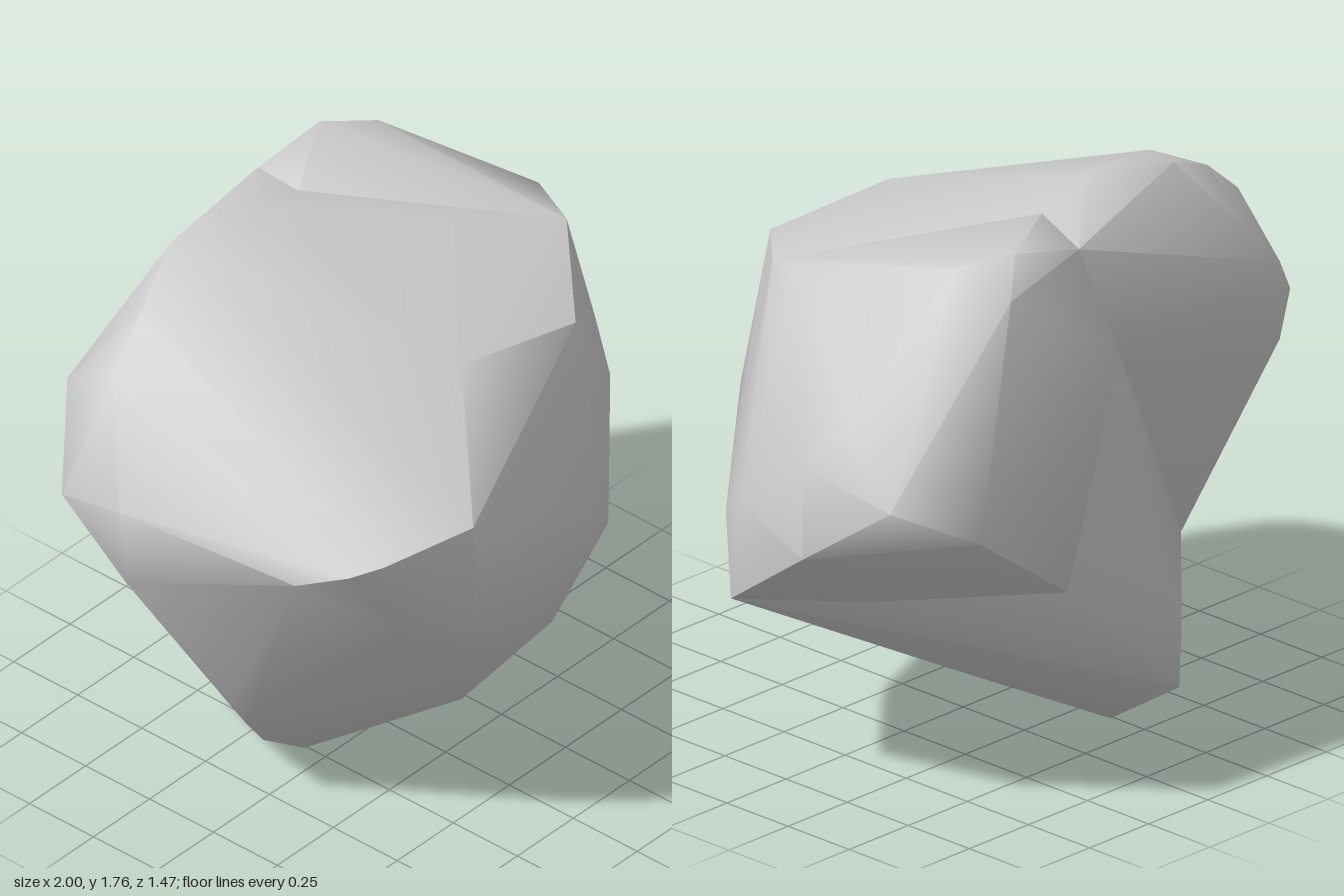
import * as THREE from 'three';
import { ConvexGeometry } from 'three/addons/geometries/ConvexGeometry.js';
import { toCreasedNormals } from 'three/addons/utils/BufferGeometryUtils.js';

// Corners shared by both lobes of the boulder
const spurTop = [0.02, 1.33, -0.66];
const crown = [
  [-0.4, 1.26, 0.71], [0.33, 1.49, 0.47], [0.62, 1.57, 0.18], [-0.1, 1.54, 0.4],
  [0.06, 1.71, -0.38], [0.11, 1.67, -0.58], spurTop,
];
const front = [
  [-0.07, 0.9, 0.73], [0.26, 0.92, 0.66], [-0.38, 0.9, 0.7], [-0.15, 0.58, 0.6],
  [0.1, 0.58, 0.58], [-0.1, 0.32, 0.4], [0.55, 0.6, 0.4], [0.86, 0.85, 0.14],
];
const baseEdge = [[0.9, 0.6, 0.08], [0, 0.11, 0], [-0.3, 0.04, -0.04]];
const underside = [
  [-0.08, 0.23, 0.29], [-0.39, 0.08, -0.12], [-0.6, 0.31, 0], [-0.58, 0.48, -0.33],
];
// Corners of the left-hand hump (x < 0) and its overhang at the back
const hump = [
  [-0.42, 1.75, -0.455], [-0.14, 1.76, -0.36], [-0.42, 1.76, -0.36],
  [-0.74, 1.37, -0.58], [-0.76, 1.11, -0.56], [-0.97, 1.16, -0.4], [-1, 1.23, -0.15],
  [-0.97, 0.96, -0.15], [-0.83, 1.13, 0.39], [-0.74, 1.17, 0.52], [-0.66, 1.2, 0.59],
  [-0.55, 0.88, 0.55], [-0.76, 0.65, -0.1], [-0.67, 0.43, 0],
  [-0.64, 1.65, -0.38], [-0.8, 1.52, -0.35],
];
// Corners of the broad side (x > 0) above the slanted base
const shoulder = [
  [1, 0.87, -0.31], [0.95, 0.95, 0], [0.94, 1.13, -0.25], [0.9, 1.06, -0.57],
  [0.69, 0.95, -0.74], [0.85, 1.28, -0.36], [0.7, 1.57, 0], [0.5, 1.69, -0.45],
  [0.35, 1.72, -0.55], [0.45, 1.62, -0.63], [0.23, 0.63, -0.65],
];
// Corners of the wedge-shaped spur that runs down the back to the foot
const spur = [
  spurTop, [0.23, 0.63, -0.65], [-0.2, 0.4, -0.7], [-0.21, 0.2, -0.68], [-0.24, 0, -0.37],
  [-0.58, 0.48, -0.33], [-0.39, 0.08, -0.12],
];

function lobe(name, ...groups) {
  const points = groups.flat().map((p) => new THREE.Vector3(...p));
  const geometry = toCreasedNormals(new ConvexGeometry(points), 0.95);
  const mesh = new THREE.Mesh(geometry, new THREE.MeshStandardMaterial({ color: 0xcccccc }));
  mesh.name = name;
  return mesh;
}

export function createModel() {
  const boulder = new THREE.Group();
  boulder.name = 'boulder';
  // The overlapping lobes leave a hollow between hump and spur at the back
  boulder.add(
    lobe('humpLobe', crown, front, baseEdge, underside, hump),
    lobe('shoulderLobe', crown, front, baseEdge, underside, shoulder),
    lobe('spurLobe', spur, baseEdge),
  );
  return boulder;
}
